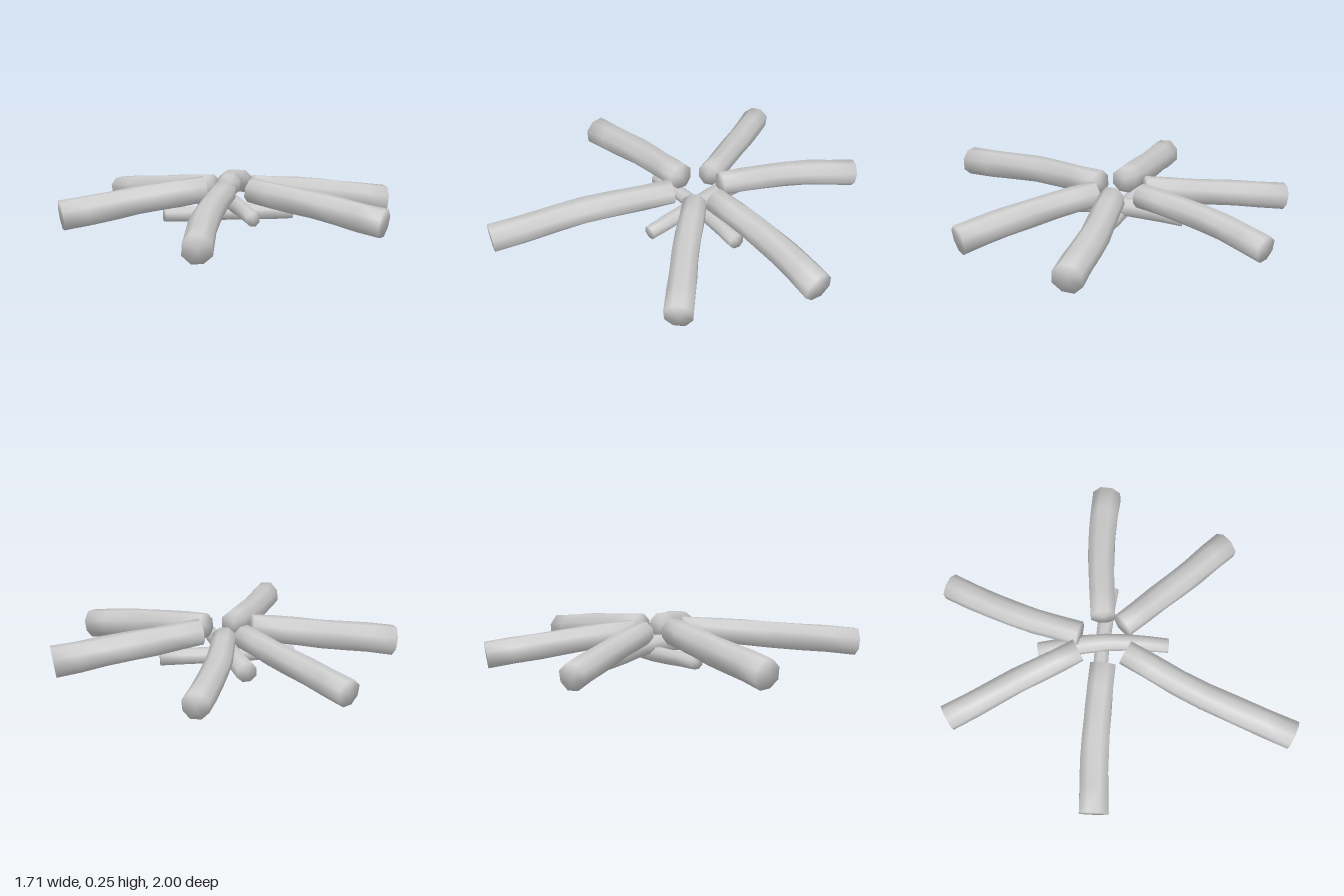
import * as THREE from 'three';

const SIDES = 8, RINGS = 6;
const UP = new THREE.Vector3(0, 1, 0);

// Closed, slightly knobbly round timber swept along a curve through the points.
// Vertices are shared between bark and end cuts so the ends shade softly.
function timber(points, r0, r1, seed) {
  const curve = new THREE.CatmullRomCurve3(points.map(p => new THREE.Vector3(...p)));
  const pos = [], index = [];
  for (let i = 0; i <= RINGS; i++) {
    const k = i / RINGS;
    const c = curve.getPoint(k), t = curve.getTangent(k);
    const u = t.clone().cross(UP).normalize(), v = u.clone().cross(t);
    for (let j = 0; j < SIDES; j++) {
      const a = (j + 0.5) / SIDES * Math.PI * 2;
      const wobble = 1 + 0.035 * Math.sin(i * 1.9 + j * 2.3 + seed * 1.7);
      const r = (r0 + (r1 - r0) * k) * wobble;
      const p = c.clone().addScaledVector(u, r * Math.cos(a)).addScaledVector(v, r * Math.sin(a));
      pos.push(p.x, Math.max(p.y, 0), p.z);
    }
  }
  const first = pos.length / 3, last = first + 1;
  pos.push(...curve.getPoint(0).toArray(), ...curve.getPoint(1).toArray());
  for (let j = 0; j < SIDES; j++) {
    const n = (j + 1) % SIDES;
    for (let i = 0; i < RINGS; i++) {
      const a = i * SIDES + j, b = a + SIDES, c = i * SIDES + n, d = c + SIDES;
      index.push(a, b, c, b, d, c);
    }
    index.push(first, j, n, last, RINGS * SIDES + n, RINGS * SIDES + j);
  }
  const geo = new THREE.BufferGeometry();
  geo.setAttribute('position', new THREE.Float32BufferAttribute(pos, 3));
  geo.setIndex(index);
  geo.computeVertexNormals();
  return geo;
}

// name, centre line from inner to outer end, inner radius, outer radius
const PARTS = [
  // six logs leaning in towards the middle
  ['frontLog', [[-0.005, 0.19, 0.03], [-0.03, 0.145, 0.5], [-0.005, 0.085, 0.99]], 0.066, 0.076],
  ['backLog', [[-0.01, 0.185, -0.23], [-0.05, 0.15, -0.6], [-0.037, 0.095, -0.99]], 0.063, 0.07],
  ['leftFrontLog', [[0.125, 0.19, -0.05], [0.47, 0.145, 0.1], [0.825, 0.082, 0.235]], 0.066, 0.077],
  ['leftBackLog', [[0.125, 0.19, -0.16], [0.46, 0.145, -0.335], [0.815, 0.085, -0.475]], 0.068, 0.082],
  ['rightFrontLog', [[-0.115, 0.195, -0.045], [-0.46, 0.145, 0.08], [-0.82, 0.085, 0.24]], 0.07, 0.08],
  ['rightBackLog', [[-0.098, 0.19, -0.195], [-0.37, 0.145, -0.415], [-0.695, 0.09, -0.66]], 0.062, 0.07],
  // two thin sticks crossed underneath
  ['lowerStick', [[-0.32, 0.065, 0.03], [0, 0.06, -0.11], [0.33, 0.06, -0.215]], 0.038, 0.044],
  ['upperStick', [[0.165, 0.08, 0.2], [0.03, 0.11, -0.1], [-0.16, 0.07, -0.4]], 0.038, 0.055],
];

export function createModel() {
  const group = new THREE.Group();
  group.name = 'campfireLogs';
  const wood = new THREE.MeshStandardMaterial({ color: 0xcccccc });
  PARTS.forEach(([name, points, r0, r1], i) => {
    const mesh = new THREE.Mesh(timber(points, r0, r1, i), wood);
    mesh.name = name;
    group.add(mesh);
  });
  return group;
}
